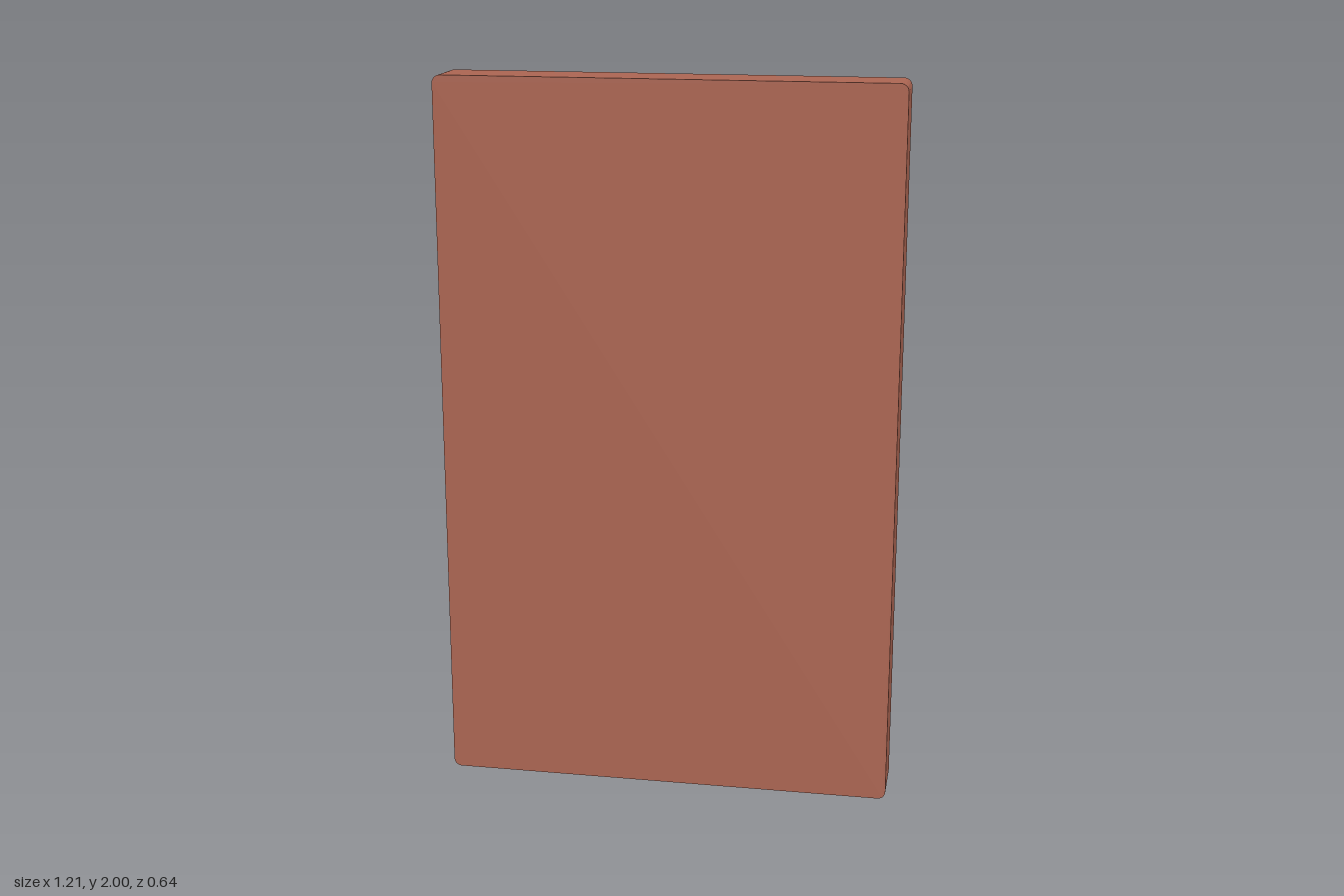
import * as THREE from 'three';
import { toCreasedNormals } from 'three/addons/utils/BufferGeometryUtils.js';

const HALF_DEPTH = 0.0725;
const TURN = -0.417;

// Traces a rounded rectangle on a Shape or Path
function roundedRect(path, halfWidth, bottom, top, r) {
  const w = halfWidth;
  path.moveTo(-w + r, bottom);
  path.lineTo(w - r, bottom);
  path.absarc(w - r, bottom + r, r, -Math.PI / 2, 0);
  path.lineTo(w, top - r);
  path.absarc(w - r, top - r, r, 0, Math.PI / 2);
  path.lineTo(-w + r, top);
  path.absarc(-w + r, top - r, r, Math.PI / 2, Math.PI);
  path.lineTo(-w, bottom + r);
  path.absarc(-w + r, bottom + r, r, Math.PI, Math.PI * 1.5);
  return path;
}

const outline = () => roundedRect(new THREE.Shape(), 0.629, 0, 2, 0.022);
const opening = (path) => roundedRect(path, 0.554, 0.13, 1.88, 0.025);

function slab(shape) {
  const options = { depth: HALF_DEPTH, bevelEnabled: false, curveSegments: 6 };
  return toCreasedNormals(new THREE.ExtrudeGeometry(shape, options), 0.6);
}

export function createModel() {
  const model = new THREE.Group();
  model.name = 'framedPanel';

  const wood = new THREE.MeshStandardMaterial({ color: 0xab6552 });
  const grey = new THREE.MeshStandardMaterial({ color: 0xcccccc });
  const green = new THREE.MeshStandardMaterial({ color: 0xaae783 });

  function add(name, geometry, material, z) {
    const mesh = new THREE.Mesh(geometry, material);
    mesh.name = name;
    mesh.position.z = z;
    model.add(mesh);
    return mesh;
  }

  // Solid plate closing the +z side
  add('plate', slab(outline()), wood, 0);

  // Raised rim around the recess
  const rim = outline();
  rim.holes.push(opening(new THREE.Path()));
  add('rim', slab(rim), wood, -HALF_DEPTH);

  // Panel on the floor of the recess, facing -z
  const panel = new THREE.ShapeGeometry(opening(new THREE.Shape()), 6);
  add('panel', panel.rotateY(Math.PI), grey, -0.001);

  // Tapered green patch lying on the panel
  const patch = new THREE.Shape([
    new THREE.Vector2(-0.185, 0.58),
    new THREE.Vector2(0.185, 0.58),
    new THREE.Vector2(0.32, 1.555),
    new THREE.Vector2(-0.32, 1.555),
  ]);
  add('patch', new THREE.ShapeGeometry(patch).rotateY(Math.PI), green, -0.003);

  // The whole piece stands turned about the vertical
  model.rotation.y = TURN;
  const root = new THREE.Group();
  root.add(model);
  return root;
}
